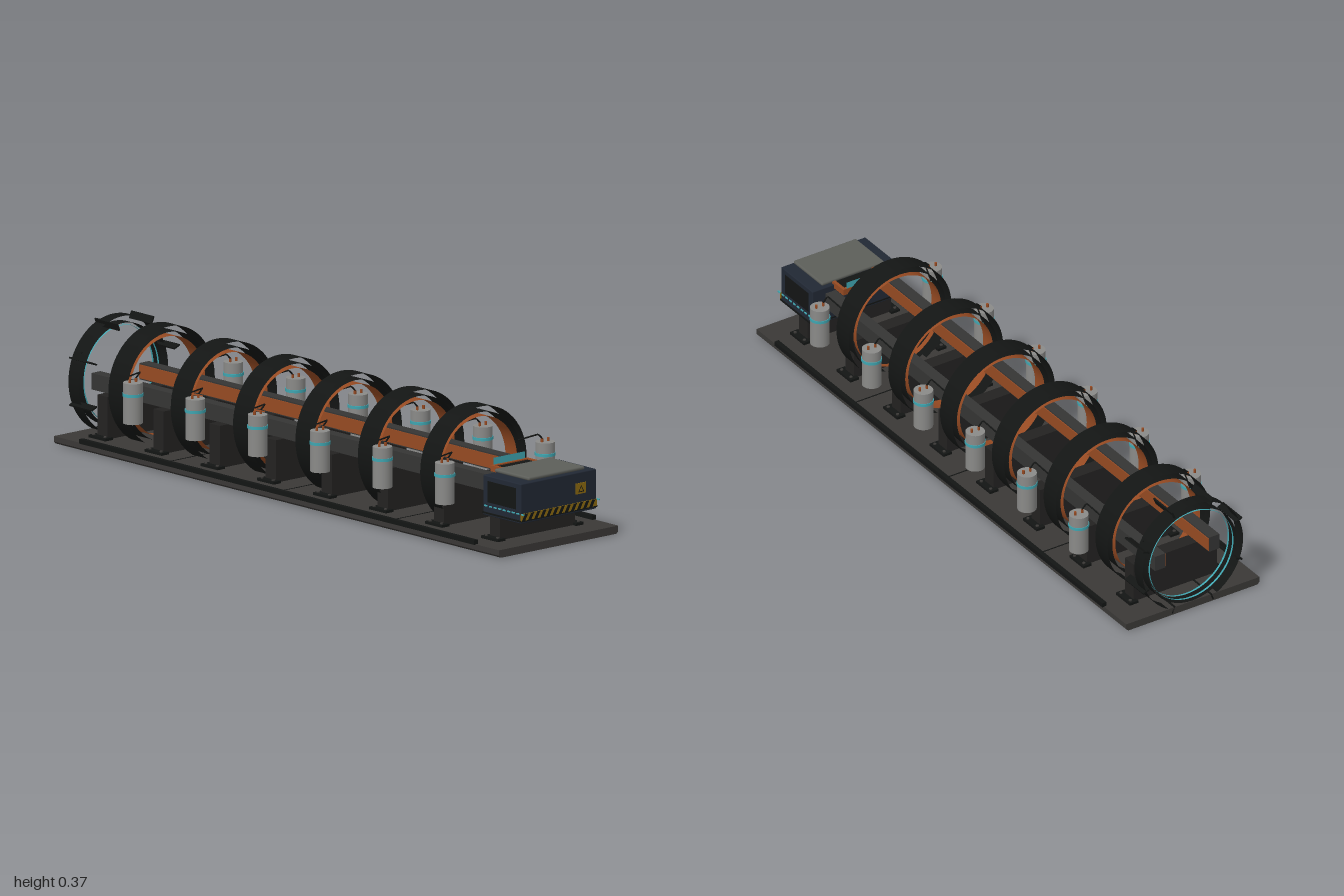
import * as THREE from 'three';
import { RoundedBoxGeometry } from 'three/addons/geometries/RoundedBoxGeometry.js';

const mat = (color, side = THREE.FrontSide) => new THREE.MeshStandardMaterial({ color, side });
const BLACK = mat(0x131514), DARK = mat(0x232221), DECK = mat(0x3a3836), RAIL = mat(0x353534);
const NAVY = mat(0x212834), STEEL = mat(0x8a8a88), LID = mat(0x5c5e59), CYAN = mat(0x3fa5b0);
const COPPER = mat(0x964a22), YELLOW = mat(0x8c6a10);
const BAND = mat(0x131514, THREE.DoubleSide), COIL = mat(0x964a22, THREE.DoubleSide);
const GLOW = mat(0x3fa5b0, THREE.DoubleSide);
const AXIS = 0.184; // height of the barrel axis

function add(parent, name, geometry, material, x = 0, y = 0, z = 0) {
  const mesh = new THREE.Mesh(geometry, material);
  mesh.name = name;
  mesh.position.set(x, y, z);
  parent.add(mesh);
  return mesh;
}
const box = (w, h, d) => new THREE.BoxGeometry(w, h, d);
const cyl = (r, h, n = 24) => new THREE.CylinderGeometry(r, r, h, n);
// open band around the barrel axis
const band = (r, width) => new THREE.CylinderGeometry(r, r, width, 64, 1, true).rotateX(Math.PI / 2);
const cable = (points, r) => new THREE.TubeGeometry(
  new THREE.CatmullRomCurve3(points.map(p => new THREE.Vector3(...p)), false, 'catmullrom', 0.1), 16, r, 6);
const group = (parent, name) => {
  const g = new THREE.Group();
  g.name = name;
  parent.add(g);
  return g;
};

function addBase(root) {
  const g = group(root, 'base');
  // plate with chamfered lower edges
  const s = new THREE.Shape();
  [[-0.231, 0.002], [0.231, 0.002], [0.239, 0.009], [0.239, 0.026], [-0.239, 0.026], [-0.239, 0.009]]
    .forEach(([x, y], i) => (i ? s.lineTo(x, y) : s.moveTo(x, y)));
  add(g, 'deckPlate', new THREE.ExtrudeGeometry(s, { depth: 1.985, bevelEnabled: false }), DECK, 0, 0, -1);
  for (const z of [-0.525, -0.02, 0.48]) add(g, 'deckSeam', box(0.478, 0.002, 0.004), BLACK, 0, 0.026, z);
  for (const side of [-1, 1]) add(g, 'edgeConduit', box(0.015, 0.014, 1.76), BLACK, side * 0.2375, 0.032, 0);
}

function addSupports(root) {
  for (let i = 0; i < 8; i++) {
    const g = group(root, 'support');
    g.position.z = 0.868 - i * 0.25;
    add(g, 'saddle', box(0.3, 0.132, 0.046), DARK, 0, 0.09, 0);
    for (const side of [-1, 1]) {
      add(g, 'foot', box(0.03, 0.008, 0.075), BLACK, side * 0.157, 0.03, 0);
      for (const z of [-0.025, 0.025]) add(g, 'footBolt', cyl(0.005, 0.005, 6), DECK, side * 0.162, 0.035, z);
    }
  }
}

function addRails(root) {
  for (const side of [-1, 1]) {
    const g = group(root, 'rail');
    add(g, 'railBeam', box(0.037, 0.05, 1.77), RAIL, side * 0.097, 0.18, -0.085);
    add(g, 'railConductor', box(0.003, 0.042, 1.77), COPPER, side * 0.077, 0.18, -0.085);
  }
}

function addCapacitor(stage, side) {
  const g = group(stage, 'capacitor');
  const x = side * 0.2015, z = 0.096;
  add(g, 'can', cyl(0.0295, 0.125), STEEL, x, 0.1775, z);
  add(g, 'canStripe', cyl(0.0315, 0.009), CYAN, x, 0.203, z);
  for (const dx of [-0.0125, 0.0125]) add(g, 'terminal', cyl(0.004, 0.012, 10), COPPER, x + dx, 0.245, z);
  // lead running up and over to the coil
  add(g, 'lead', cable([[side * 0.19, 0.25, z], [side * 0.173, 0.266, z], [side * 0.154, 0.24, 0.03]], 0.0025), BLACK);
}

function addStages(root) {
  for (let i = 0; i < 6; i++) {
    const g = group(root, 'coilStage');
    g.position.z = 0.605 - i * 0.278;
    add(g, 'coilShroud', band(0.184, 0.066), BAND, 0, AXIS, 0);
    add(g, 'shroudLiner', band(0.166, 0.062), BAND, 0, AXIS, 0);
    add(g, 'coilWinding', band(0.152, 0.052), COIL, 0, AXIS, 0);
    for (const side of [-1, 1]) addCapacitor(g, side);
  }
}

function addMuzzle(root) {
  const g = group(root, 'muzzle');
  g.position.set(0, AXIS, -0.978);
  add(g, 'muzzleRing', band(0.18, 0.044), BAND);
  add(g, 'muzzleInnerRing', band(0.158, 0.04), BAND);
  for (const z of [-0.012, 0.012]) add(g, 'muzzleGlow', band(0.15, 0.007), GLOW, 0, 0, z);
  // radial fins
  for (let i = 0; i < 8; i++) {
    const a = (i + 0.5) * Math.PI / 4;
    const fin = add(g, 'fin', box(0.024, 0.005, 0.1), BLACK, Math.cos(a) * 0.18, Math.sin(a) * 0.18, 0.028);
    fin.rotation.z = a;
  }
  // sensor studs
  for (let i = 0; i < 3; i++) {
    const a = Math.PI / 6 + i * Math.PI / 3;
    add(g, 'stud', new THREE.SphereGeometry(0.003, 8, 6), BLACK, Math.cos(a) * 0.181, Math.sin(a) * 0.181, 0.01);
  }
}

function addBreech(root) {
  const g = group(root, 'breechHousing');
  add(g, 'housing', new RoundedBoxGeometry(0.302, 0.122, 0.17, 2, 0.003), NAVY, 0, 0.153, 0.9);
  add(g, 'lid', new RoundedBoxGeometry(0.225, 0.011, 0.155, 3, 0.005), LID, 0, 0.222, 0.9);
  add(g, 'lidGasket', box(0.15, 0.004, 0.13), BLACK, 0, 0.216, 0.9);
  // hazard strip with slanted bars
  add(g, 'hazardStrip', box(0.304, 0.021, 0.004), YELLOW, 0, 0.112, 0.986);
  for (let i = 0; i < 12; i++) {
    const x = -0.15 + i * 0.0245;
    const s = new THREE.Shape();
    s.moveTo(x, 0); s.lineTo(x + 0.012, 0); s.lineTo(x + 0.0245, 0.021); s.lineTo(x + 0.0125, 0.021);
    add(g, 'hazardBar', new THREE.ExtrudeGeometry(s, { depth: 0.001, bevelEnabled: false }), BLACK, 0, 0.1015, 0.988);
  }
  add(g, 'lowerTrim', box(0.308, 0.005, 0.172), BLACK, 0, 0.1, 0.9);
  // warning plate with a triangle outline
  add(g, 'warningPlate', box(0.041, 0.033, 0.003), YELLOW, 0.0875, 0.165, 0.986);
  add(g, 'warningTriangle', new THREE.RingGeometry(0.009, 0.014, 3, 1, Math.PI / 2), BLACK, 0.0875, 0.161, 0.9885);
  // side panels with dashed light lines
  for (const side of [-1, 1]) {
    add(g, 'sidePanel', box(0.004, 0.065, 0.125), BLACK, side * 0.15, 0.166, 0.9);
    for (let i = 0; i < 9; i++) add(g, 'lightDash', box(0.004, 0.004, 0.012), CYAN, side * 0.152, 0.122, 0.83 + i * 0.0204);
  }
  // loading port behind the housing
  const port = group(g, 'loadingPort');
  add(port, 'portFloor', box(0.13, 0.015, 0.055), BLACK, 0, 0.211, 0.795);
  for (const side of [-1, 1]) add(port, 'portSide', box(0.01, 0.02, 0.06), COPPER, side * 0.07, 0.212, 0.795);
  add(port, 'portBack', box(0.15, 0.02, 0.01), COPPER, 0, 0.212, 0.769);
  add(port, 'portScreen', new THREE.PlaneGeometry(0.126, 0.04), GLOW, 0, 0.223, 0.765);
}

export function createModel() {
  const root = new THREE.Group();
  root.name = 'coilLauncher';
  addBase(root);
  addSupports(root);
  addRails(root);
  addStages(root);
  addMuzzle(root);
  addBreech(root);
  return root;
}
